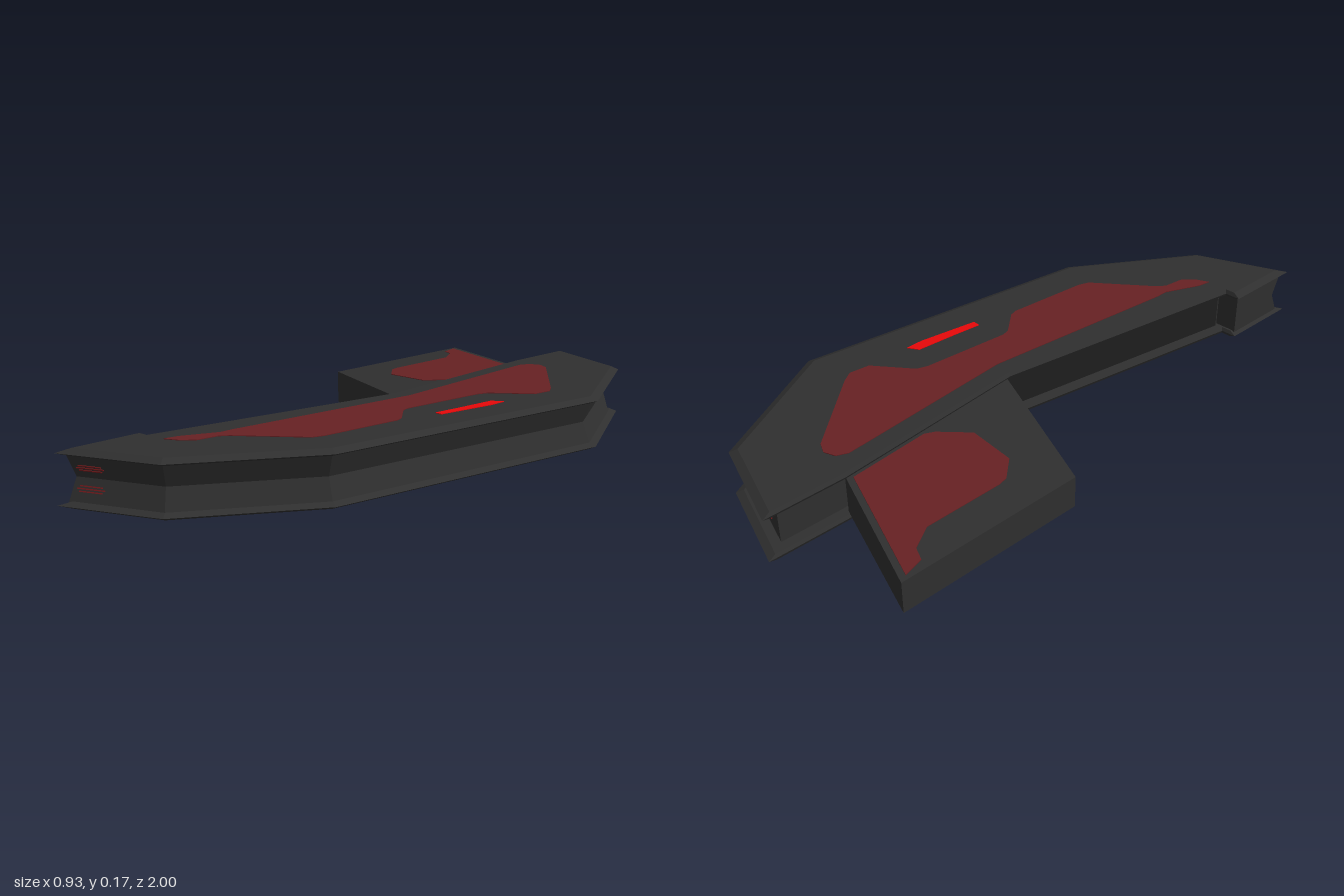
import * as THREE from 'three';

const mat = (name, color, side = THREE.FrontSide) => {
  const m = new THREE.MeshStandardMaterial({ color, side, flatShading: true });
  m.name = name;
  return m;
};

const MID = 0.087; // height of the mirror plane between top and bottom

// Main outline as [x, z], clockwise seen from above
const OUTLINE = [
  [-0.062, -1.0], [0.24, -0.915], [0.46, -0.5], [0.33, 0.47], [0.09, 0.855],
  [-0.195, 0.995], [-0.195, 0.74], [-0.145, 0.735], [-0.015, -0.1], [-0.065, -0.735],
];

// Move each edge of an outline inward by its own distance
function inset(points, distances) {
  const n = points.length;
  const edges = points.map((p, i) => {
    const q = points[(i + 1) % n];
    const l = Math.hypot(q[0] - p[0], q[1] - p[1]);
    const dx = (q[0] - p[0]) / l, dz = (q[1] - p[1]) / l, d = distances[i];
    return { x: p[0] - dz * d, z: p[1] + dx * d, dx, dz };
  });
  return edges.map((b, i) => {
    const a = edges[(i + n - 1) % n];
    const t = ((b.x - a.x) * b.dz - (b.z - a.z) * b.dx) / (a.dx * b.dz - a.dz * b.dx);
    return [a.x + a.dx * t, a.z + a.dz * t];
  });
}

// Closed solid through rings of [x, y, z] points, listed from bottom to top
function loft(rings) {
  const pos = [], n = rings[0].length;
  const tri = (...pts) => pts.forEach((p) => pos.push(...p));
  for (let r = 0; r + 1 < rings.length; r++) {
    const a = rings[r], b = rings[r + 1];
    for (let i = 0; i < n; i++) {
      const j = (i + 1) % n;
      tri(a[i], b[i], a[j]);
      tri(a[j], b[i], b[j]);
    }
  }
  const cap = (ring, up) => {
    const flat = ring.map((p) => new THREE.Vector2(p[0], p[2]));
    for (const [i, j, k] of THREE.ShapeUtils.triangulateShape(flat, [])) {
      const p = ring[i], q = ring[j], s = ring[k];
      const ny = (q[2] - p[2]) * (s[0] - p[0]) - (q[0] - p[0]) * (s[2] - p[2]);
      if ((ny > 0) === up) tri(p, q, s);
      else tri(p, s, q);
    }
  };
  cap(rings[0], false);
  cap(rings[rings.length - 1], true);
  const g = new THREE.BufferGeometry();
  g.setAttribute('position', new THREE.Float32BufferAttribute(pos, 3));
  g.computeVertexNormals();
  return g;
}

const atHeight = (points, y) =>
  points.map(([x, z]) => [x, typeof y === 'function' ? y(x) : y, z]);

export function createModel() {
  const model = new THREE.Group();
  const shell = mat('charcoal', 0x2f2f2f);
  const recess = mat('darkRecess', 0x1f1f1f);
  const panelRed = mat('deepRed', 0x672123);
  const ventRed = mat('ventRed', 0x7a1c1e);
  const lightRed = mat('brightRed', 0xff0a0c);

  const add = (name, geometry, material) => {
    const mesh = new THREE.Mesh(geometry, material);
    mesh.name = name;
    model.add(mesh);
    return mesh;
  };

  // Bevelled upper and lower plates
  const edge = (d) => inset(OUTLINE, [d, d, d, d, d, d, d / 4, d / 4, d / 4, d / 4]);
  const profile = [[0.024, 0.022], [0.014, 0], [0.002, 0.024]];
  add('lowerPlate', loft([...profile].reverse().map(([y, d]) => atHeight(edge(d), y))), shell);
  add('upperPlate', loft(profile.map(([y, d]) => atHeight(edge(d), 2 * MID - y))), shell);

  // Core between the plates: V-shaped groove outside, flat walls at rear and inside
  const core = (d) => inset(OUTLINE, [0.05, d, d, d, d, 0.012, 0.012, 0.035, 0.035, 0.035]);
  add('groovedCore', loft([
    atHeight(core(0.02), 0.02), atHeight(core(0.045), MID), atHeight(core(0.02), 0.154),
  ]), shell);

  // Dark inner wall strip, from nose block to wing
  const innerWall = [[-0.118, 0.73], [0.014, -0.1], [0.02, -0.1], [-0.112, 0.73]];
  add('innerWall', loft([
    atHeight(innerWall.slice().reverse(), 0.024), atHeight(innerWall.slice().reverse(), 0.15),
  ].map((r) => (THREE.ShapeUtils.area(r.map((p) => new THREE.Vector2(p[0], p[2]))) > 0
    ? r : r.reverse()))), recess);

  // Side wing, slightly thinner towards its tip
  const wingHalf = (x) => 0.0525 + (x + 0.465) * 0.028;
  const wing = [[-0.465, -0.862], [-0.05, -0.732], [0.03, -0.6], [0.03, -0.095], [-0.465, -0.265]];
  add('sideWing', loft([
    atHeight(wing, (x) => MID - wingHalf(x)), atHeight(wing, (x) => MID + wingHalf(x)),
  ]), shell);

  // Thin painted panels, one on top and one below
  const decal = (name, points, half, material) => {
    const flat = points.map(([x, z]) => new THREE.Vector2(x, z));
    const p = THREE.ShapeUtils.area(flat) > 0 ? points : points.slice().reverse();
    for (const [side, s] of [['Upper', 1], ['Lower', -1]]) {
      const rings = [-0.001, 0.002].map((o) => atHeight(p, (x) => MID + s * (half(x) + o)));
      add(name + side, loft(s > 0 ? rings : rings.reverse()), material);
    }
  };
  const plateHalf = () => 0.085;

  decal('bodyPanel', [
    [0, -0.68], [0.015, -0.715], [0.05, -0.73], [0.085, -0.715], [0.285, -0.49], [0.308, -0.455],
    [0.3, -0.39], [0.19, -0.295], [0.178, -0.26], [0.153, 0.02], [0.16, 0.045], [0.222, 0.115],
    [0.229, 0.14], [0.207, 0.4], [0.195, 0.435], [0.025, 0.585], [0.008, 0.61], [0, 0.675],
    [-0.03, 0.71], [-0.072, 0.733], [-0.065, 0.69], [-0.018, 0.58], [-0.018, 0.54], [0.045, -0.1],
  ], plateHalf, panelRed);

  decal('wingPanel', [
    [-0.452, -0.838], [-0.07, -0.718], [-0.051, -0.46], [-0.065, -0.43], [-0.14, -0.35],
    [-0.29, -0.35], [-0.345, -0.41], [-0.352, -0.44], [-0.352, -0.69], [-0.395, -0.76],
    [-0.435, -0.775],
  ], wingHalf, panelRed);

  decal('lightStrip', [
    [0.265, -0.225], [0.298, -0.247], [0.298, -0.19], [0.27, 0], [0.246, 0], [0.255, -0.09],
  ], plateHalf, lightRed);

  // Groups of three thin vents on the nose and the rear wall
  const vents = (name, a, b, t, depthAt, tilt) => {
    const dx = b[0] - a[0], dz = b[1] - a[1], l = Math.hypot(dx, dz);
    for (const s of [-1, 1]) {
      for (let k = -1; k <= 1; k++) {
        const off = 0.029 + k * 0.007, d = depthAt(off);
        const slit = add(name, new THREE.BoxGeometry(0.085 - Math.abs(k) * 0.015, 0.0035, 0.004), ventRed);
        slit.position.set(a[0] + dx * t - (dz / l) * d, MID + s * off, a[1] + dz * t + (dx / l) * d);
        slit.rotation.order = 'YXZ';
        slit.rotation.set(s * tilt, Math.atan2(dz, -dx), 0);
      }
    }
  };
  vents('noseVent', OUTLINE[4], OUTLINE[5], 0.73, (o) => 0.045 - o * 0.373, 0.36);
  vents('rearVent', OUTLINE[0], OUTLINE[1], 0.5, () => 0.05, 0);

  return model;
}
